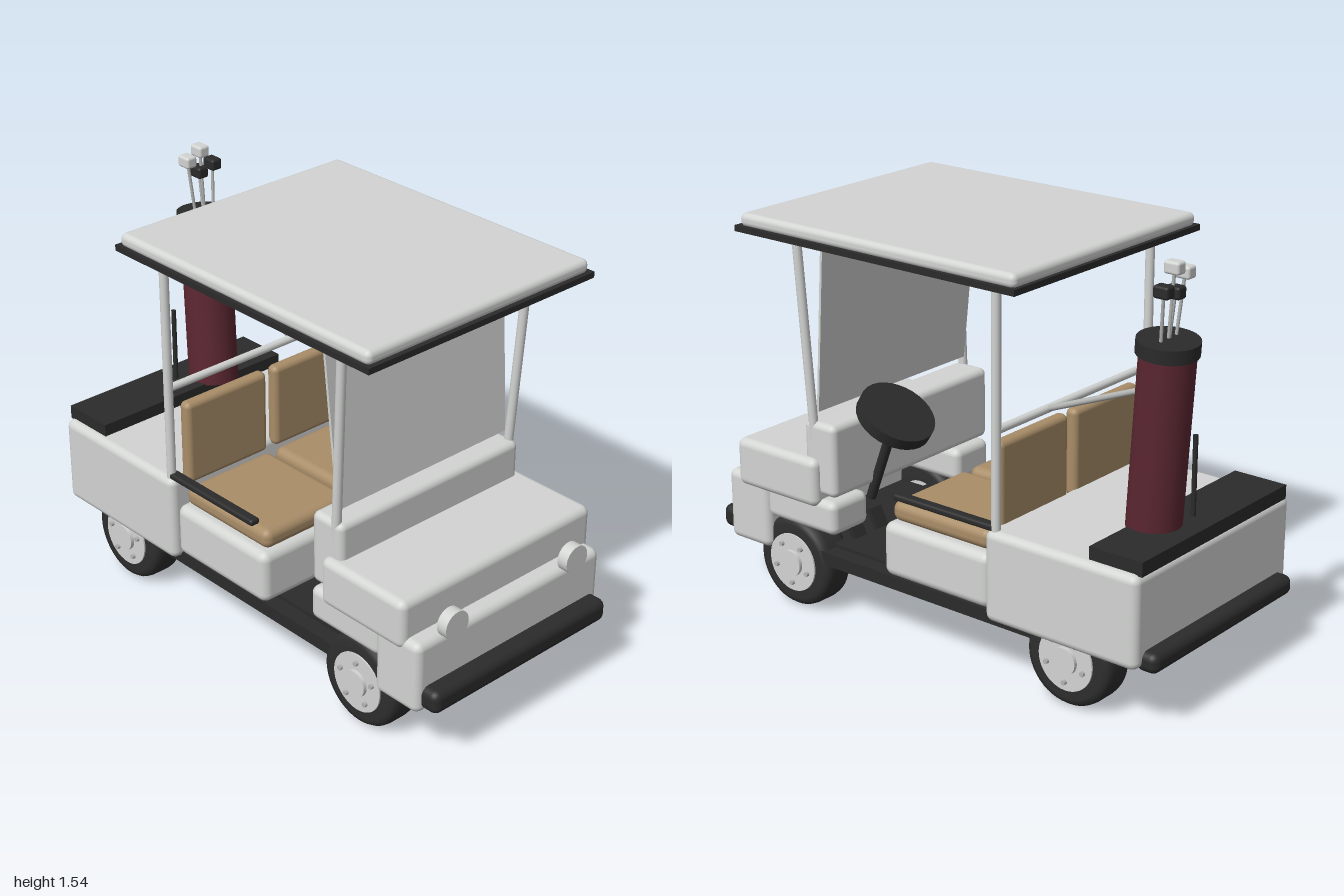
import * as THREE from 'three';
import { RoundedBoxGeometry } from 'three/addons/geometries/RoundedBoxGeometry.js';

const material = (name, color) => {
  const m = new THREE.MeshStandardMaterial({ color });
  m.name = name;
  return m;
};

export function createModel() {
  const cart = new THREE.Group();
  cart.name = 'golfCart';

  const body = material('bodyPaint', 0xd2d4d2);
  const trim = material('blackTrim', 0x2b2b2b);
  const rubber = material('tireRubber', 0x2e2e2e);
  const tan = material('tanUpholstery', 0xa98d68);
  const maroon = material('maroonBag', 0x5c2731);
  const steel = material('steel', 0xb2b4b2);

  const add = (name, geometry, mat, parent = cart) => {
    const mesh = new THREE.Mesh(geometry, mat);
    mesh.name = name;
    parent.add(mesh);
    return mesh;
  };
  // Box given by its limits on each axis; r rounds the edges
  const box = (name, mat, [x0, x1], [y0, y1], [z0, z1], r = 0) => {
    const s = [x1 - x0, y1 - y0, z1 - z0];
    const g = r ? new RoundedBoxGeometry(...s, 4, r) : new THREE.BoxGeometry(...s);
    const mesh = add(name, g, mat);
    mesh.position.set((x0 + x1) / 2, (y0 + y1) / 2, (z0 + z1) / 2);
    return mesh;
  };
  // Cylinder running from point a to point b
  const rod = (name, mat, a, b, r, sides = 16, parent = cart) => {
    const p = new THREE.Vector3(...a), q = new THREE.Vector3(...b);
    const d = q.clone().sub(p);
    const mesh = add(name, new THREE.CylinderGeometry(r, r, d.length(), sides), mat, parent);
    mesh.position.copy(p).add(q).multiplyScalar(0.5);
    mesh.quaternion.setFromUnitVectors(new THREE.Vector3(0, 1, 0), d.normalize());
    return mesh;
  };

  // Chassis, floor and bumpers
  box('chassis', trim, [-0.78, 0.8], [0.205, 0.255], [-0.42, 0.42]);
  box('floorMat', trim, [0.12, 0.6], [0.25, 0.268], [-0.36, 0.36]);
  box('rearBumper', trim, [-1, -0.91], [0.22, 0.295], [-0.42, 0.42], 0.03);
  box('frontBumper', trim, [0.9, 1], [0.222, 0.31], [-0.425, 0.425], 0.03);

  // Body shells
  box('rearBody', body, [-0.945, -0.31], [0.232, 0.57], [-0.46, 0.46], 0.03);
  box('seatBase', body, [-0.315, 0.17], [0.26, 0.465], [-0.44, 0.44], 0.035);
  box('dashboard', body, [0.403, 0.55], [0.48, 0.757], [-0.43, 0.43], 0.025);
  box('hood', body, [0.475, 0.872], [0.435, 0.62], [-0.46, 0.46], 0.03);
  box('noseCowl', body, [0.73, 0.935], [0.205, 0.48], [-0.448, 0.448], 0.03);
  box('bagDeck', trim, [-0.945, -0.733], [0.565, 0.617], [-0.43, 0.43]);

  // Paired fenders, lamps, seats, armrests and roof posts
  for (const s of [1, -1]) {
    const span = (a, b) => (s > 0 ? [a, b] : [-b, -a]);
    box('frontFender', body, [0.403, 0.745], [0.335, 0.465], span(0.25, 0.44), 0.03);
    rod('headlight', body, [0.918, 0.51, s * 0.293], [0.96, 0.51, s * 0.293], 0.053, 32);
    box('seatCushion', tan, [-0.295, 0.152], [0.463, 0.54], span(0.012, 0.41), 0.032);
    box('seatBack', tan, [-0.335, -0.283], [0.54, 0.867], span(0.018, 0.395), 0.022);
    box('armrest', trim, [-0.345, 0.112], [0.562, 0.587], span(0.405, 0.445), 0.01);
    rod('rearPost', body, [-0.343, 0.55, s * 0.43], [-0.343, 1.44, s * 0.43], 0.017);
    rod('frontPost', body, [0.505, 0.62, s * 0.412], [0.553, 1.44, s * 0.432], 0.017);
  }

  // Crossbar behind the seats, and the strut that holds the bag
  rod('rearCrossbar', body, [-0.343, 0.925, -0.43], [-0.343, 0.925, 0.43], 0.015);
  rod('bagStrut', steel, [-0.76, 1.09, -0.155], [-0.343, 0.925, -0.155], 0.011);

  // Windshield: a thin sheet leaning backwards, wider at the top
  const pane = new THREE.Shape([
    new THREE.Vector2(-0.402, 0), new THREE.Vector2(0.402, 0),
    new THREE.Vector2(0.418, 0.65), new THREE.Vector2(-0.418, 0.65)
  ]);
  const shield = add('windshield', new THREE.ExtrudeGeometry(pane, { depth: 0.01, bevelEnabled: false }), body);
  shield.rotation.set(-0.087, Math.PI / 2, 0, 'YXZ');
  shield.position.set(0.497, 0.79, 0);

  // Roof
  box('roofEdge', trim, [-0.49, 0.765], [1.435, 1.457], [-0.52, 0.52]);
  box('roofPanel', body, [-0.48, 0.752], [1.45, 1.502], [-0.51, 0.51], 0.022);

  // Steering wheel, column and pedals
  const wheelTilt = 0.56;
  const steering = add('steeringWheel', new THREE.CylinderGeometry(0.145, 0.145, 0.044, 32), trim);
  steering.position.set(0.302, 0.765, -0.21);
  steering.rotation.z = wheelTilt;
  rod('steeringColumn', trim, [0.302, 0.76, -0.21], [0.43, 0.42, -0.21], 0.019);
  for (const z of [-0.26, -0.14]) {
    const pedal = box('pedal', trim, [0.455, 0.475], [0.265, 0.345], [z - 0.03, z + 0.03]);
    pedal.rotation.z = -0.5;
  }

  // Wheels: rounded tire, rim, centre cap and lug nuts
  const tireProfile = [
    [0.1, -0.067], [0.145, -0.067], [0.162, -0.062], [0.172, -0.048], [0.175, -0.03],
    [0.175, 0.03], [0.172, 0.048], [0.162, 0.062], [0.145, 0.067], [0.1, 0.067]
  ].map(([r, h]) => new THREE.Vector2(r, h));
  const tireGeometry = new THREE.LatheGeometry(tireProfile, 48);
  for (const x of [-0.64, 0.63]) {
    for (const s of [1, -1]) {
      const wheel = new THREE.Group();
      wheel.name = x > 0 ? 'frontWheel' : 'rearWheel';
      wheel.position.set(x, 0.175, s * 0.357);
      wheel.rotation.x = s * Math.PI / 2;
      cart.add(wheel);
      add('tire', tireGeometry, rubber, wheel);
      rod('rim', body, [0, -0.06, 0], [0, 0.073, 0], 0.112, 40, wheel);
      rod('hubCap', body, [0, 0.07, 0], [0, 0.087, 0], 0.05, 24, wheel);
      for (let i = 0; i < 5; i++) {
        const a = Math.PI / 2 + i * Math.PI * 2 / 5;
        const px = 0.08 * Math.cos(a), pz = -0.08 * Math.sin(a);
        rod('lugNut', steel, [px, 0.07, pz], [px, 0.085, pz], 0.009, 10, wheel);
      }
    }
  }

  // Golf bag leaning slightly backwards, with its collar
  rod('bag', maroon, [-0.782, 0.605, -0.137], [-0.836, 1.25, -0.16], 0.096, 32);
  rod('bagCollar', trim, [-0.833, 1.228, -0.159], [-0.837, 1.278, -0.161], 0.107, 32);
  rod('deckPeg', trim, [-0.85, 0.57, -0.005], [-0.85, 0.907, -0.005], 0.009);

  // Clubs: head height, z and colour
  const clubs = [
    [1.517, -0.155, body], [1.49, -0.095, body], [1.45, -0.215, trim], [1.435, -0.15, trim]
  ];
  for (const [y, z, mat] of clubs) {
    const x = mat === body ? -0.848 : -0.85;
    rod('clubShaft', steel, [-0.832, 1.26, z * 0.7 - 0.048], [x, y, z], 0.006, 8);
    box('clubHead', mat, [x - 0.03, x + 0.03], [y - 0.022, y + 0.022], [z - 0.023, z + 0.023], 0.01);
  }

  return cart;
}
